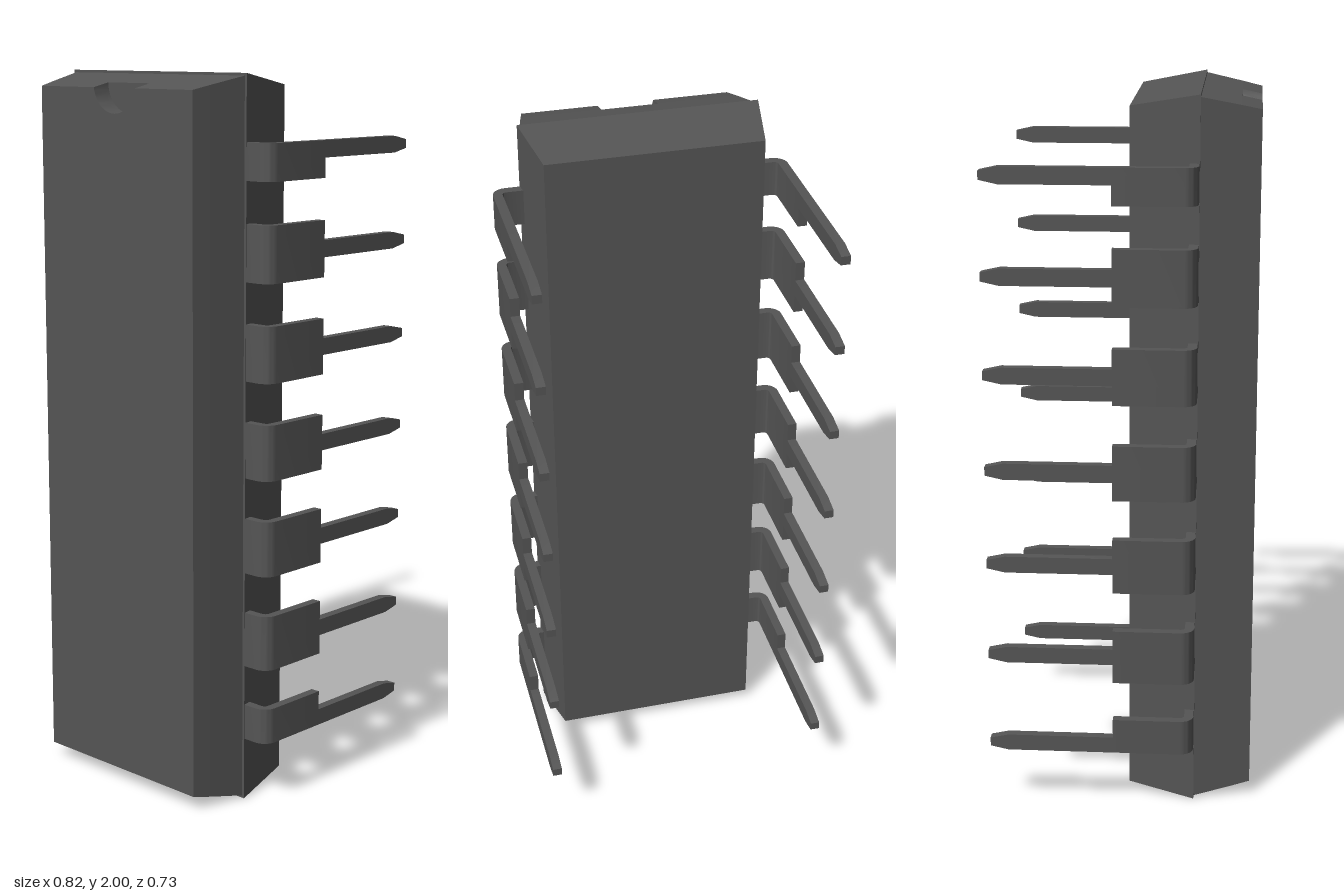
import * as THREE from 'three';
import { toCreasedNormals } from 'three/addons/utils/BufferGeometryUtils.js';

const material = new THREE.MeshStandardMaterial({ color: 0x555555 });
const MID = 1; // height of the body centre
const FLOOR_Z = 0.31, FACE_Z = 0.364, NOTCH_R = 0.08, NOTCH_Y = 1.971;

function mesh(geometry, name) {
  const m = new THREE.Mesh(toCreasedNormals(geometry, 0.5), material);
  m.name = name;
  return m;
}

// Counter-clockwise rectangle (seen from +z) centred on the body
const rect = (w, h) => [[-w, MID - h], [w, MID - h], [w, MID + h], [-w, MID + h]];

// Walls between outlines with equal point counts, ordered from back to front
function loft(sections, capBack, capFront) {
  const pos = [];
  const put = (p, z) => pos.push(p[0], p[1], z);
  for (let s = 0; s < sections.length - 1; s++) {
    const a = sections[s], b = sections[s + 1], n = a.pts.length;
    for (let i = 0; i < n; i++) {
      const j = (i + 1) % n;
      put(a.pts[i], a.z); put(a.pts[j], a.z); put(b.pts[j], b.z);
      put(a.pts[i], a.z); put(b.pts[j], b.z); put(b.pts[i], b.z);
    }
  }
  const cap = ({ pts, z }, flip) => {
    const contour = pts.map(p => new THREE.Vector2(...p));
    for (const [a, b, c] of THREE.ShapeUtils.triangulateShape(contour, [])) {
      for (const k of flip ? [a, c, b] : [a, b, c]) put(pts[k], z);
    }
  };
  if (capBack) cap(sections[0], true);
  if (capFront) cap(sections[sections.length - 1], false);
  const g = new THREE.BufferGeometry();
  g.setAttribute('position', new THREE.Float32BufferAttribute(pos, 3));
  return g;
}

// Half-round notch edge from right to left, cut off at height top
function notchArc(top) {
  const start = Math.asin((top - NOTCH_Y) / NOTCH_R), pts = [];
  for (let i = 0; i <= 24; i++) {
    const a = start + (-Math.PI - 2 * start) * i / 24;
    pts.push([Math.cos(a) * NOTCH_R, NOTCH_Y + Math.sin(a) * NOTCH_R]);
  }
  return pts;
}

function notchedRect(w, h) {
  const [bl, br, tr, tl] = rect(w, h);
  return [bl, br, tr, ...notchArc(MID + h), tl];
}

function createBody() {
  const body = new THREE.Group();
  body.name = 'body';
  // Tapered back half, small ledge at the seam, and start of the front half
  body.add(mesh(loft([
    { z: 0.02, pts: rect(0.298, 0.967) },
    { z: 0.205, pts: rect(0.332, 1) },
    { z: 0.205, pts: rect(0.325, 0.993) },
    { z: FLOOR_Z, pts: rect(0.303, 0.971) },
  ], true, false), 'housing'));
  // Front layer with the orientation notch cut through it
  body.add(mesh(loft([
    { z: FLOOR_Z, pts: notchedRect(0.303, 0.971) },
    { z: FACE_Z, pts: notchedRect(0.291, 0.959) },
  ], false, true), 'notchedFace'));
  const floor = new THREE.ShapeGeometry(
    new THREE.Shape(notchArc(NOTCH_Y).map(p => new THREE.Vector2(...p))));
  floor.translate(0, 0, FLOOR_Z);
  body.add(mesh(floor, 'notchFloor'));
  return body;
}

const OUT = 0.411, T = 0.026, Z_FRONT = 0.204, TAB_END = -0.02, TIP = -0.365;

// Wide bent tab, drawn in plan (x, -z) and extruded upwards
function tabGeometry(y0, y1) {
  const s = new THREE.Shape();
  const front = -Z_FRONT, R = 0.038, r = R - T;
  s.moveTo(0.32, front);
  s.lineTo(OUT - R, front);
  s.absarc(OUT - R, front + R, R, -Math.PI / 2, 0, false);
  s.lineTo(OUT, -TAB_END);
  s.lineTo(OUT - T, -TAB_END);
  s.lineTo(OUT - T, front + R);
  s.absarc(OUT - R, front + R, r, 0, -Math.PI / 2, true);
  s.lineTo(0.32, front + T);
  s.closePath();
  const g = new THREE.ExtrudeGeometry(s, { depth: y1 - y0, bevelEnabled: false, curveSegments: 8 });
  return g.rotateX(-Math.PI / 2).translate(0, y0, 0);
}

// Narrow leg with tapered tip, drawn in (z, y) and extruded across its thickness
function legGeometry(y) {
  const h = 0.023, tip = 0.012;
  const s = new THREE.Shape([
    [TAB_END, -h], [TAB_END, h], [-0.315, h], [TIP, tip], [TIP, -tip], [-0.315, -h],
  ].map(p => new THREE.Vector2(...p)));
  const g = new THREE.ExtrudeGeometry(s, { depth: T, bevelEnabled: false });
  return g.rotateY(-Math.PI / 2).translate(OUT, y, 0);
}

function createPinRow(name) {
  const row = new THREE.Group();
  row.name = name;
  for (let i = -3; i <= 3; i++) {
    const y = i * 0.2665;
    const pin = new THREE.Group();
    pin.name = 'pin';
    // The end pins have tabs trimmed flush with the leg on the outer side
    const below = i === -3 ? 0.023 : 0.077, above = i === 3 ? 0.023 : 0.077;
    pin.add(mesh(tabGeometry(y - below, y + above), 'pinTab'));
    pin.add(mesh(legGeometry(y), 'pinLeg'));
    row.add(pin);
  }
  row.position.y = MID;
  return row;
}

export function createModel() {
  const model = new THREE.Group();
  model.name = 'dualInlineChip';
  const left = createPinRow('leftPins');
  const right = createPinRow('rightPins');
  right.rotation.z = Math.PI;
  model.add(createBody(), left, right);
  return model;
}
